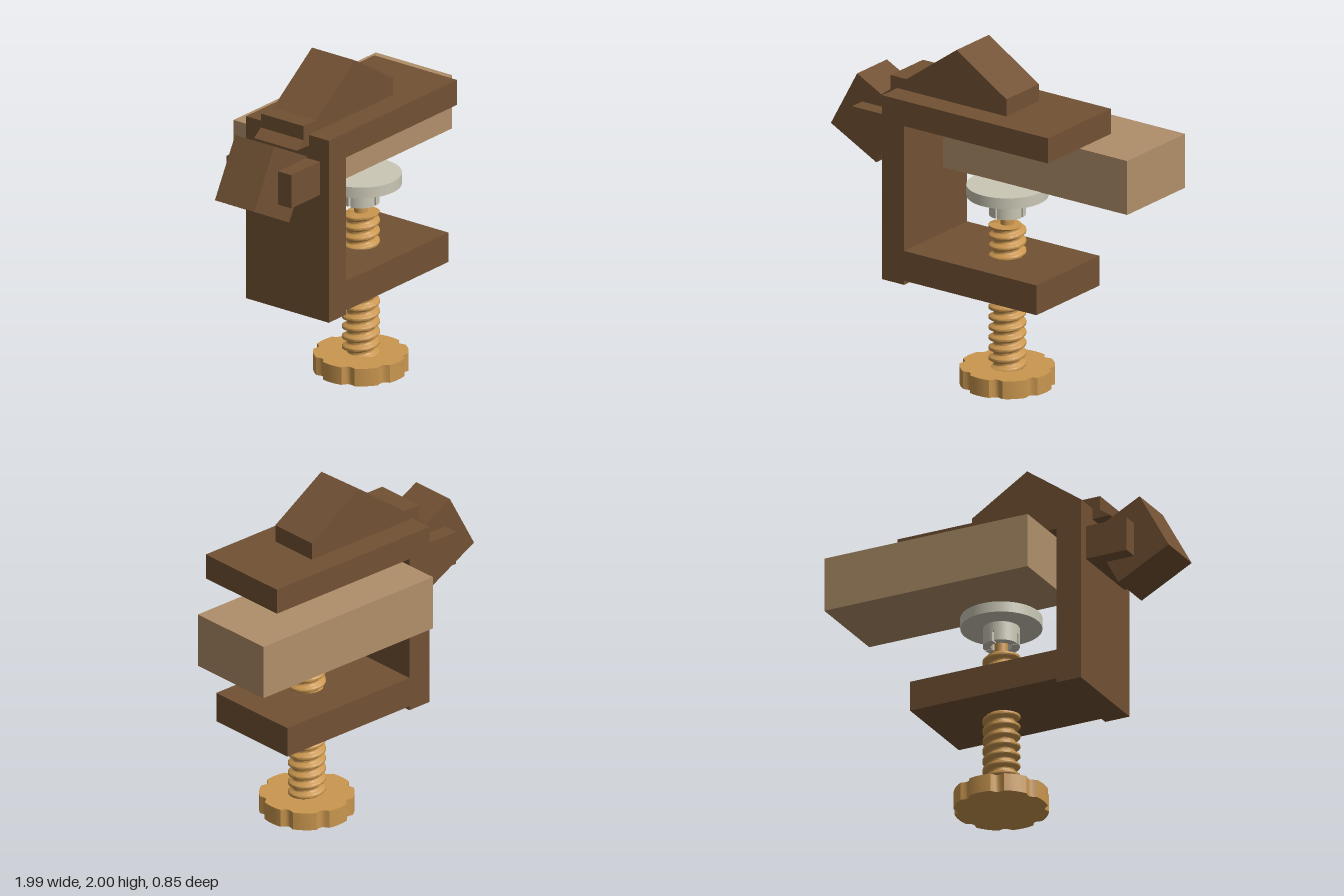
import * as THREE from 'three';
import { toCreasedNormals } from 'three/addons/utils/BufferGeometryUtils.js';

const mat = (name, color) => new THREE.MeshStandardMaterial({ name, color });
const AX = 0.15, AZ = 0.13; // screw axis

export function createModel() {
  const group = new THREE.Group();
  const brown = mat('dark brown', 0x725134);
  const wood = mat('light wood', 0xb08f6a);
  const ochre = mat('ochre', 0xc9964f);
  const grey = mat('warm grey', 0xcac7b5);

  const add = (name, geo, material, x = 0, y = 0, z = 0) => {
    const m = new THREE.Mesh(geo, material);
    m.name = name;
    m.position.set(x, y, z);
    group.add(m);
    return m;
  };
  // block from min and max corners
  const block = (name, material, x0, x1, y0, y1, z0, z1) =>
    add(name, new THREE.BoxGeometry(x1 - x0, y1 - y0, z1 - z0), material,
      (x0 + x1) / 2, (y0 + y1) / 2, (z0 + z1) / 2);
  // side profile extruded between two z values
  const slab = (name, material, pts, z0, z1) =>
    add(name, new THREE.ExtrudeGeometry(
      new THREE.Shape(pts.map(p => new THREE.Vector2(...p))),
      { depth: z1 - z0, bevelEnabled: false }), material, 0, 0, z0);
  // plan shape extruded upward around the screw axis
  const upright = (name, material, shape, y0, y1) => {
    const g = new THREE.ExtrudeGeometry(shape, { depth: y1 - y0, bevelEnabled: false, curveSegments: 12 });
    g.rotateX(-Math.PI / 2);
    return add(name, toCreasedNormals(g, 0.5), material, AX, y0, AZ);
  };

  // C-shaped frame
  slab('frame', brown, [
    [-0.515, 0.565], [-0.36, 0.565], [-0.36, 0.59], [0.575, 0.59], [0.575, 0.77], [-0.36, 0.77],
    [-0.36, 1.525], [0.655, 1.525], [0.655, 1.677], [-0.515, 1.677],
  ], -0.173, 0.425);

  // peaked block on top, with its hooked tail
  slab('topBlock', brown, [
    [0.255, 1.67], [0.255, 1.78], [-0.097, 2.0], [-0.45, 1.745], [-0.563, 1.745],
    [-0.563, 1.66], [-0.625, 1.615], [-0.51, 1.61], [-0.51, 1.67],
  ], -0.028, 0.28);

  // tilted block and cross bar behind the upright
  slab('tiltedBlock', brown, [
    [-0.995, 1.355], [-0.675, 1.188], [-0.49, 1.53], [-0.81, 1.695],
  ], -0.018, 0.265);
  block('crossBar', brown, -0.775, -0.51, 1.33, 1.533, -0.11, 0.36);

  // clamped board
  block('board', wood, -0.308, 0.99, 1.198, 1.524, -0.427, 0.123);

  // pressure pad disc and slotted collar
  add('padDisc', new THREE.CylinderGeometry(0.233, 0.233, 0.065, 48), grey, AX, 1.167, AZ);
  add('padNeck', new THREE.CylinderGeometry(0.105, 0.105, 0.055, 32), grey, AX, 1.1075, AZ);
  for (let i = 0; i < 4; i++) {
    const a = i * Math.PI / 2 + 0.06, b = (i + 1) * Math.PI / 2 - 0.06;
    const s = new THREE.Shape();
    s.absarc(0, 0, 0.105, a, b, false);
    s.absarc(0, 0, 0.06, b, a, true);
    upright('collarJaw' + (i + 1), grey, s, 1.02, 1.08);
  }
  add('pin', new THREE.CylinderGeometry(0.038, 0.038, 0.13, 24), ochre, AX, 1.015, AZ);

  // threaded screw: cylinder whose radius follows a right-handed helix
  const y0 = 0.1, y1 = 0.962, pitch = 0.0616, turns = 14;
  const screw = new THREE.CylinderGeometry(0.1, 0.1, y1 - y0, 36, turns * 10);
  const p = screw.attributes.position;
  for (let i = 0; i < p.count; i++) {
    const x = p.getX(i), z = p.getZ(i);
    if (Math.hypot(x, z) < 0.01) continue;
    const a = Math.atan2(x, z);
    const w = Math.cos((p.getY(i) / pitch) * Math.PI * 2 - a);
    const r = 0.093 + 0.015 * THREE.MathUtils.clamp(w * 1.4, -1, 1);
    p.setXYZ(i, Math.sin(a) * r, p.getY(i), Math.cos(a) * r);
  }
  add('screw', toCreasedNormals(screw, 0.9), ochre, AX, (y0 + y1) / 2, AZ);

  // lobed hand knob with eight shallow scallops
  const pts = [];
  const step = Math.PI / 4, half = 0.25;
  for (let i = 0; i < 8; i++) {
    for (let k = 0; k <= 6; k++) {
      const a = i * step - half + (k / 6) * half * 2;
      pts.push(new THREE.Vector2(Math.cos(a) * 0.271, Math.sin(a) * 0.271));
    }
    for (let k = 1; k < 6; k++) {
      const t = k / 6, a = i * step + half + t * (step - half * 2);
      const r = 0.271 - 0.024 * Math.sin(t * Math.PI);
      pts.push(new THREE.Vector2(Math.cos(a) * r, Math.sin(a) * r));
    }
  }
  upright('knob', ochre, new THREE.Shape(pts), 0, 0.107);

  return group;
}
